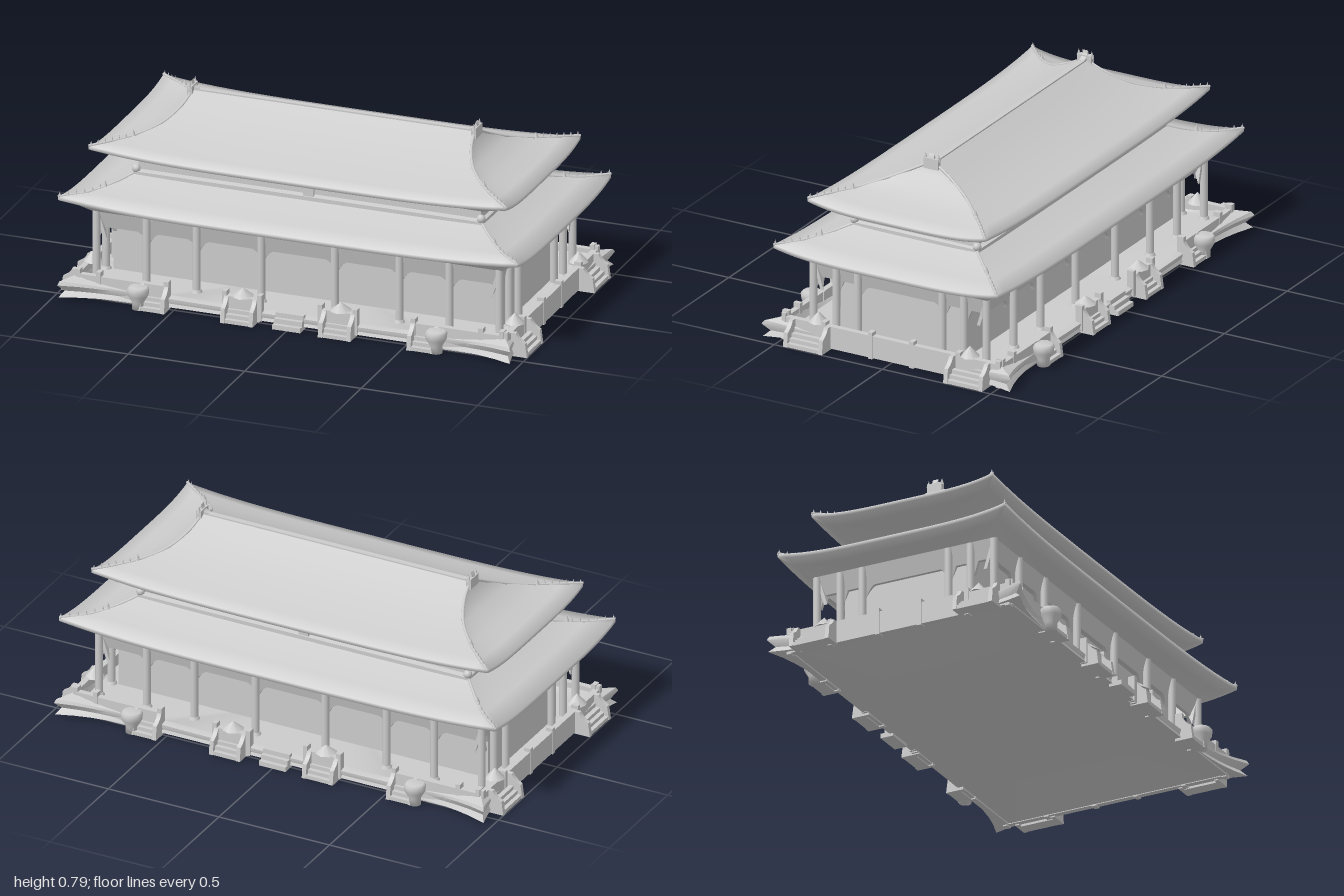
import * as THREE from 'three';
import { mergeGeometries, toCreasedNormals } from 'three/addons/utils/BufferGeometryUtils.js';

const mat = new THREE.MeshStandardMaterial({ color: 0xcccccc, side: THREE.DoubleSide });

function add(parent, name, geo, x = 0, y = 0, z = 0, ry = 0) {
  const m = new THREE.Mesh(geo, mat);
  m.name = name;
  m.position.set(x, y, z);
  m.rotation.y = ry;
  parent.add(m);
  return m;
}
const box = (w, h, d) => new THREE.BoxGeometry(w, h, d);

// Four-sided loft of rings [halfX, halfZ, y, cornerLift, cornerPush], listed from the top outwards and down
function ringLoft(rows, crease, n = 32) {
  const sides = [];
  for (let k = 0; k < 4; k++) {
    const pos = [], idx = [];
    rows.forEach(([rx, rz, y, lift = 0, push = 0], i) => {
      for (let j = 0; j <= n; j++) {
        const s = (j / n) * 2 - 1, e = push * Math.abs(s) ** 8;
        const hx = rx + e * 0.6, hz = rz + e;
        const p = [[s * hx, hz], [hx, -s * hz], [-s * hx, -hz], [-hx, s * hz]][k];
        pos.push(p[0], y + lift * Math.abs(s) ** 4, p[1]);
        if (i && j) {
          const d = i * (n + 1) + j, c = d - 1, b = d - n - 1, a = b - 1;
          idx.push(a, c, b, b, c, d);
        }
      }
    });
    const g = new THREE.BufferGeometry();
    g.setAttribute('position', new THREE.Float32BufferAttribute(pos, 3));
    g.setIndex(idx);
    sides.push(toCreasedNormals(g, crease));
  }
  return mergeGeometries(sides);
}

// Hip ridges with a beast and a row of small figures at each corner
function hipRidges(parent, rows, r, beastAt) {
  for (const sx of [-1, 1]) for (const sz of [-1, 1]) {
    const pts = rows.map(([x, z, y, l]) => new THREE.Vector3(sx * x, y + l, sz * z));
    const curve = new THREE.CatmullRomCurve3(pts);
    add(parent, 'hipRidge', new THREE.TubeGeometry(curve, 24, r, 8));
    const beast = curve.getPointAt(beastAt);
    add(parent, 'ridgeBeast', new THREE.ConeGeometry(0.011, 0.026, 6), beast.x, beast.y + 0.013, beast.z);
    for (let i = 0; i < 6; i++) {
      const p = curve.getPointAt(beastAt + 0.06 + (0.92 - beastAt) * i / 5);
      add(parent, 'ridgeFigure', new THREE.ConeGeometry(0.006, 0.02, 5), p.x, p.y + 0.01, p.z);
    }
  }
}

// Coved lintel with curved brackets filling one bay of width w, leaning inwards towards its foot
function lintelGeometry(w) {
  const h = w / 2, c = Math.min(0.045, w * 0.25), s = new THREE.Shape();
  s.moveTo(-h, 0.345);
  s.lineTo(-h, 0.215);
  s.quadraticCurveTo(-h + 0.018, 0.25, -h + c, 0.265);
  s.lineTo(h - c, 0.265);
  s.quadraticCurveTo(h - 0.018, 0.25, h, 0.215);
  s.lineTo(h, 0.345);
  const g = new THREE.ExtrudeGeometry(s, { depth: 0.015, bevelEnabled: false, curveSegments: 6 });
  const lean = new THREE.Matrix4().set(1, 0, 0, 0, 0, 1, 0, 0, 0, 0.3, 1, -0.3 * 0.345 - 0.007, 0, 0, 0, 1);
  g.applyMatrix4(lean);
  return g;
}

// Short stair facing +z between two sloped cheek walls
function stair(parent, w, x, z, ry) {
  const g = new THREE.Group();
  g.name = 'stair';
  g.position.set(x, 0, z);
  g.rotation.y = ry;
  parent.add(g);
  for (let i = 0; i < 3; i++) add(g, 'step', box(w, 0.016 * (i + 1), 0.02), 0, 0.008 * (i + 1), 0.045 - i * 0.018);
  const s = new THREE.Shape();
  s.moveTo(-0.02, 0);
  s.lineTo(0.058, 0);
  s.lineTo(0.05, 0.06);
  s.quadraticCurveTo(0.02, 0.075, 0.01, 0.1);
  s.lineTo(-0.02, 0.1);
  for (const e of [-1, 1]) {
    const geo = new THREE.ExtrudeGeometry(s, { depth: 0.018, bevelEnabled: false }).translate(0, 0, -0.009).rotateY(-Math.PI / 2);
    add(g, 'cheekWall', geo, e * (w / 2 - 0.009), 0, 0);
  }
}

export function createModel() {
  const model = new THREE.Group();
  model.name = 'palaceHall';
  const part = (name, x = -0.006) => {
    const g = new THREE.Group();
    g.name = name;
    g.position.x = x;
    model.add(g);
    return g;
  };

  // Terrace with swept-out corners and an inset underside
  const terrace = part('terrace', 0);
  add(terrace, 'plinth', ringLoft([[0, 0, 0.05], [0.9, 0.47, 0.05], [0.905, 0.478, 0.05, 0.045, 0.01], [0.93, 0.505, 0.045, 0.035, 0.06],
    [0.93, 0.505, 0.04, 0.025, 0.07], [0.925, 0.5, 0.025, 0.01, 0.045], [0.93, 0.505, 0.012, 0, 0.065], [0.92, 0.485, 0.012], [0.88, 0.43, 0], [0, 0, 0]], 0.6));
  for (const s of [-1, 1]) {
    const ry = s > 0 ? 0 : Math.PI;
    // Front and back balustrades, stairs and ornaments
    for (const m of [-1, 1]) {
      add(terrace, 'balustrade', box(0.39, 0.095, 0.025), m * 0.725, 0.0525, s * 0.495);
      add(terrace, 'balustrade', box(0.15, 0.095, 0.025), m * 0.205, 0.0525, s * 0.495);
      for (const x of [0.13, 0.28, 0.53, 0.82, 0.91])
        add(terrace, 'post', box(0.02, 0.11, 0.03), m * x, 0.065, s * 0.495);
      add(terrace, 'finial', new THREE.ConeGeometry(0.045, 0.035, 8), m * 0.21, 0.115, s * 0.48);
      stair(terrace, 0.14, m * 0.21, s * 0.5, ry);
      stair(terrace, 0.12, m * 0.58, s * 0.5, ry);
      const cup = [[0, 0], [0.025, 0], [0.025, 0.03], [0.042, 0.06], [0.045, 0.085], [0.035, 0.095], [0, 0.095]];
      add(terrace, 'urn', new THREE.LatheGeometry(cup.map(p => new THREE.Vector2(...p)), 20), m * 0.64, 0, s * 0.535);
    }
    for (let i = 0; i < 3; i++)
      add(terrace, 'centreStep', box(0.12, 0.02 * (i + 1), 0.02), 0, 0.01 * (i + 1), s * (0.535 - 0.018 * i));
    // End balustrades and stairs
    add(terrace, 'endBalustrade', box(0.025, 0.095, 0.97), s * 0.92, 0.0525, 0);
    for (const z of [-0.495, -0.31, -0.095, 0.095, 0.31, 0.495])
      add(terrace, 'post', box(0.03, 0.115, 0.02), s * 0.92, 0.0575, z);
    for (const z of [-0.37, 0.37]) {
      stair(terrace, 0.18, s * 0.942, z, s * Math.PI / 2);
      add(terrace, 'finial', new THREE.ConeGeometry(0.04, 0.045, 8), s * 0.905, 0.12, Math.sign(z) * 0.35);
    }
  }

  // Hall body and colonnade
  const hall = part('hall');
  add(hall, 'hallWalls', box(1.67, 0.3, 0.58), 0, 0.195);
  add(hall, 'porchCeiling', box(1.74, 0.006, 0.8), 0, 0.338);
  const xs = [-0.865, -0.65, -0.435, -0.158, 0.158, 0.435, 0.65, 0.865];
  const zs = [-0.4, -0.295, -0.195, 0.195, 0.295, 0.4];
  const column = (x, z) => {
    add(hall, 'column', new THREE.CylinderGeometry(0.016, 0.016, 0.3, 16), x, 0.195, z);
    add(hall, 'columnBase', new THREE.CylinderGeometry(0.018, 0.024, 0.014, 16), x, 0.055, z);
  };
  for (const s of [-1, 1]) {
    for (const x of xs) column(x, s * 0.4);
    for (const z of zs.slice(1, -1)) column(s * 0.865, z);
    for (let i = 1; i < xs.length; i++)
      add(hall, 'lintel', lintelGeometry(xs[i] - xs[i - 1]), (xs[i] + xs[i - 1]) / 2, 0, s * 0.4, s > 0 ? 0 : Math.PI);
    for (let i = 1; i < zs.length; i++)
      add(hall, 'endLintel', lintelGeometry(zs[i] - zs[i - 1]), s * 0.865, 0, (zs[i] + zs[i - 1]) / 2, s * Math.PI / 2);
  }

  // Lower roof
  const lower = part('lowerRoof');
  const lowerRows = [[0.74, 0.28, 0.475, 0.005], [0.8, 0.345, 0.446, 0.006], [0.89, 0.435, 0.415, 0.012],
    [0.985, 0.515, 0.395, 0.03], [0.985, 0.515, 0.378, 0.03], [0.935, 0.465, 0.362, 0.02], [0.88, 0.41, 0.338, 0]];
  add(lower, 'lowerRoofShell', ringLoft(lowerRows, 2));
  hipRidges(lower, lowerRows.slice(0, 4), 0.006, 0.42);

  // Upper storey with flared bracket band
  const upper = part('upperStorey');
  add(upper, 'upperWalls', ringLoft([[0.78, 0.31, 0.55], [0.735, 0.272, 0.525], [0.735, 0.272, 0.49], [0.75, 0.295, 0.485], [0.75, 0.295, 0.465]], 0.6, 4));
  for (const s of [-1, 1]) {
    add(upper, 'plaque', box(0.045, 0.06, 0.012), 0, 0.505, s * 0.285);
    for (const m of [-1, 1])
      add(upper, 'cornerBeast', new THREE.SphereGeometry(0.018, 10, 8), s * 0.74, 0.495, m * 0.283);
  }

  // Upper roof
  const top = part('upperRoof');
  const topRows = [[0.605, 0.012, 0.75, 0], [0.622, 0.09, 0.705, 0.004], [0.668, 0.185, 0.66, 0.005], [0.75, 0.28, 0.625, 0.01],
    [0.83, 0.355, 0.603, 0.02], [0.895, 0.41, 0.588, 0.028], [0.895, 0.41, 0.572, 0.028], [0.84, 0.365, 0.558, 0.018], [0.745, 0.28, 0.526, 0]];
  add(top, 'upperRoofShell', ringLoft(topRows, 2));
  hipRidges(top, topRows.slice(0, 6), 0.006, 0.64);
  add(top, 'mainRidge', box(1.22, 0.022, 0.024), 0, 0.745);
  for (const s of [-1, 1]) {
    // Curled ridge ends
    const horn = new THREE.Shape();
    horn.moveTo(-0.025, 0.735);
    horn.lineTo(0.012, 0.725);
    horn.quadraticCurveTo(0.022, 0.76, 0.004, 0.792);
    horn.quadraticCurveTo(0.004, 0.765, -0.025, 0.757);
    add(top, 'ridgeHorn', new THREE.ExtrudeGeometry(horn, { depth: 0.024, bevelEnabled: false }).translate(0, 0, -0.012), s * 0.605, 0, 0, s > 0 ? 0 : Math.PI);
    add(top, 'ridgeEnd', box(0.022, 0.045, 0.066), s * 0.61, 0.75, 0);
    for (const z of [-0.03, 0.03])
      add(top, 'ridgeSpike', new THREE.ConeGeometry(0.01, 0.03, 5), s * 0.61, 0.777, z);
  }
  return model;
}
